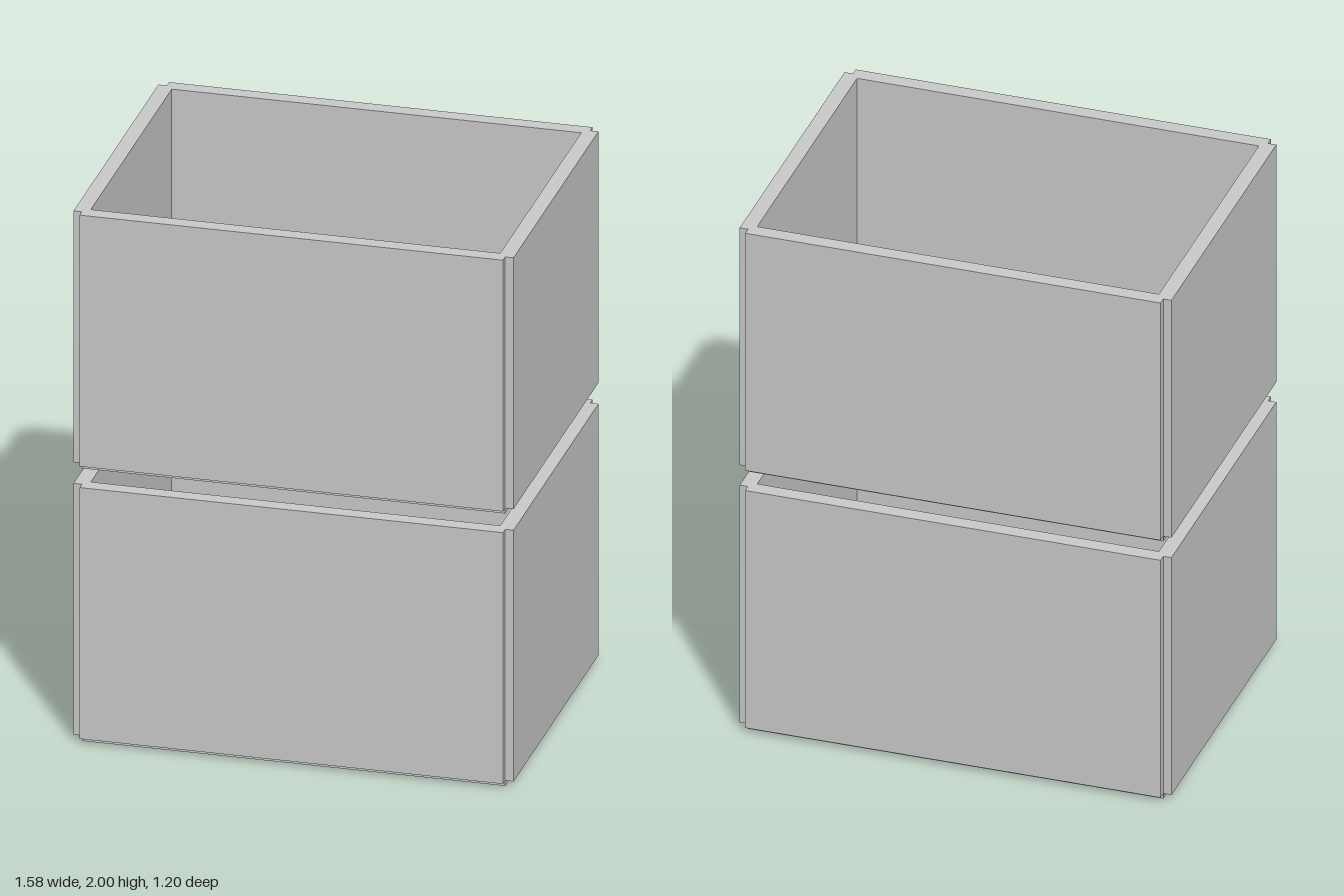
import * as THREE from 'three';

const material = new THREE.MeshStandardMaterial({ color: 0xcccccc, flatShading: true });

const OUTER_X = 0.79, OUTER_Z = 0.6;    // outer faces of the side panels
const CORE_X = 0.76, CORE_Z = 0.57;     // base plate and notched corners
const INNER_X = 0.735, INNER_Z = 0.543; // cavity
const HEIGHT = 0.97, LIP = 0.02, FLOOR = 0.03;

// Closed ring of points as Vector2s
const points = (list) => list.map(([x, y]) => new THREE.Vector2(x, y));

// Wall ring: a rectangle with notched corners and a rectangular cavity
function wallGeometry() {
  const shape = new THREE.Shape(points([
    [CORE_X, -OUTER_Z], [CORE_X, -CORE_Z], [OUTER_X, -CORE_Z],
    [OUTER_X, CORE_Z], [CORE_X, CORE_Z], [CORE_X, OUTER_Z],
    [-CORE_X, OUTER_Z], [-CORE_X, CORE_Z], [-OUTER_X, CORE_Z],
    [-OUTER_X, -CORE_Z], [-CORE_X, -CORE_Z], [-CORE_X, -OUTER_Z],
  ]));
  shape.holes.push(new THREE.Path(points([
    [-INNER_X, -INNER_Z], [-INNER_X, INNER_Z], [INNER_X, INNER_Z], [INNER_X, -INNER_Z],
  ])));
  const geometry = new THREE.ExtrudeGeometry(shape, { depth: HEIGHT - LIP, bevelEnabled: false });
  return geometry.rotateX(-Math.PI / 2).translate(0, LIP, 0);
}

// Open-topped box: walls standing around a slightly lower base plate
function makeBox(name, y) {
  const box = new THREE.Group();
  box.name = name;
  const walls = new THREE.Mesh(wallGeometry(), material);
  walls.name = 'walls';
  const base = new THREE.Mesh(new THREE.BoxGeometry(CORE_X * 2, FLOOR, CORE_Z * 2), material);
  base.name = 'basePlate';
  base.position.y = FLOOR / 2;
  box.add(walls, base);
  box.position.y = y;
  return box;
}

export function createModel() {
  const group = new THREE.Group();
  group.name = 'stackedBoxes';
  group.add(makeBox('lowerBox', 0), makeBox('upperBox', 2 - HEIGHT));
  return group;
}
